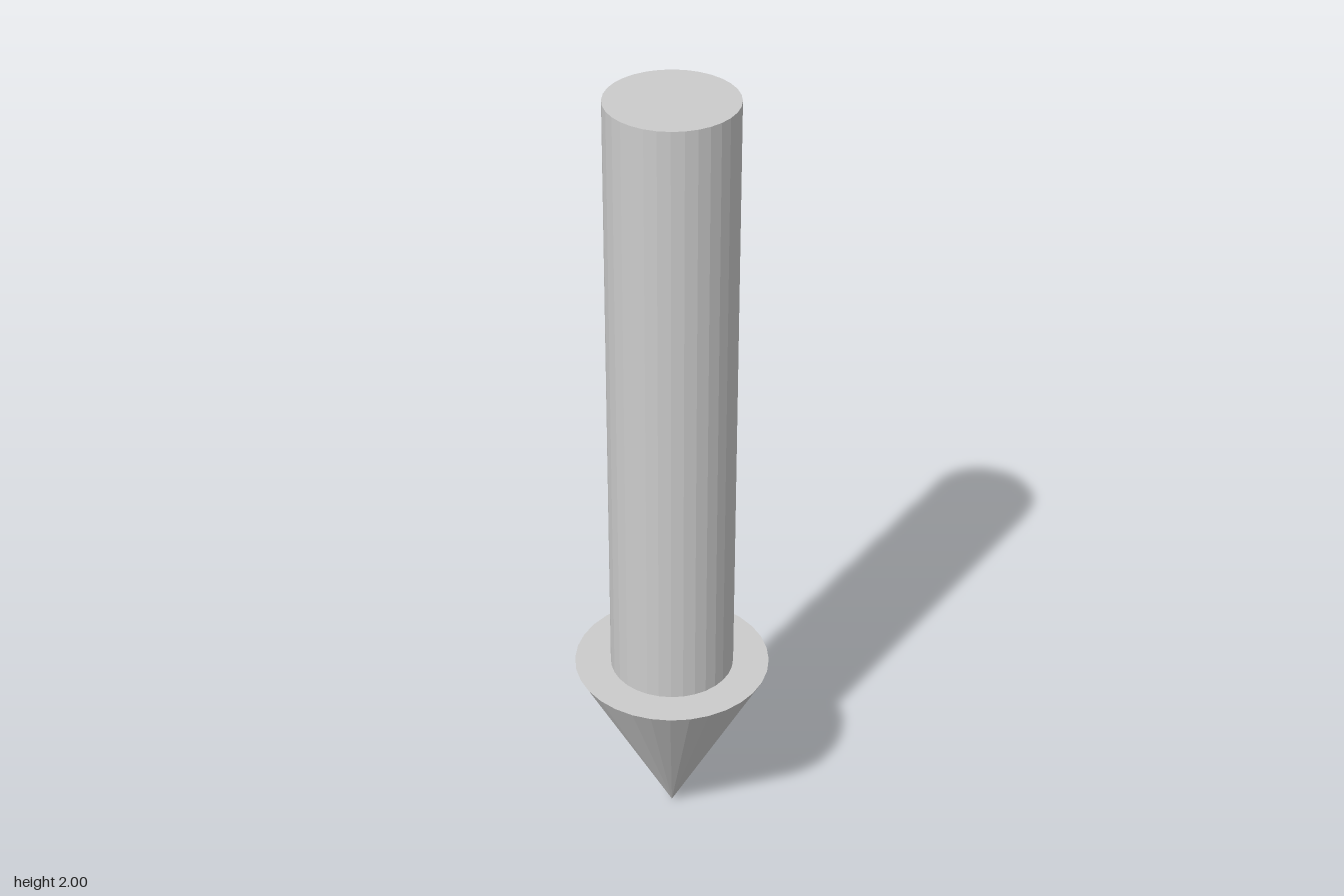
import * as THREE from 'three';

const SIDES = 32;
const HEIGHT = 2;
const HEAD_HEIGHT = 0.467;
const HEAD_RADIUS = 0.242;
const SHAFT_RADIUS = 0.153;

export function createModel() {
  const arrow = new THREE.Group();
  arrow.name = 'downArrow';
  const material = new THREE.MeshStandardMaterial({ color: 0xcccccc, flatShading: true });

  // Pointed head, tip resting on the ground
  const headGeometry = new THREE.ConeGeometry(HEAD_RADIUS, HEAD_HEIGHT, SIDES);
  headGeometry.rotateX(Math.PI);
  const head = new THREE.Mesh(headGeometry, material);
  head.name = 'arrowHead';
  head.position.y = HEAD_HEIGHT / 2;

  // Straight round shaft standing on the flat of the head
  const shaftLength = HEIGHT - HEAD_HEIGHT;
  const shaft = new THREE.Mesh(
    new THREE.CylinderGeometry(SHAFT_RADIUS, SHAFT_RADIUS, shaftLength, SIDES),
    material
  );
  shaft.name = 'shaft';
  shaft.position.y = HEAD_HEIGHT + shaftLength / 2;

  arrow.add(head, shaft);
  return arrow;
}
